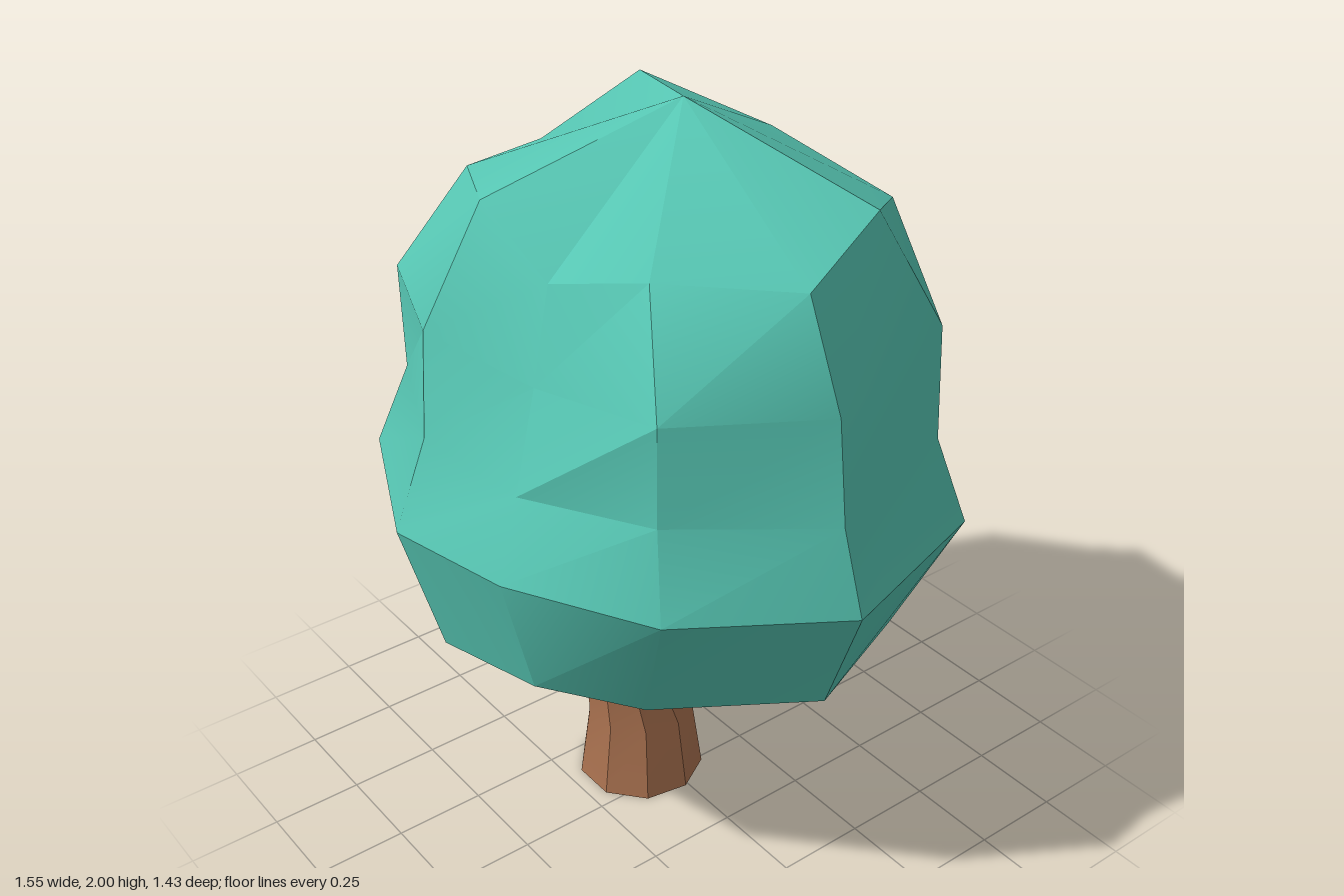
import * as THREE from 'three';
import { toCreasedNormals } from 'three/addons/utils/BufferGeometryUtils.js';

// Closed skin over equal-length rings of points (counterclockwise from above),
// fanned shut to a bottom and a top point.
function loft(rings, bottom, top) {
  const n = rings[0].length;
  const index = [];
  const last = rings.length * n;
  for (let i = 0; i < n; i++) {
    const j = (i + 1) % n;
    index.push(last, j, i);
    for (let r = 0; r < rings.length - 1; r++) {
      const a = r * n + i, b = r * n + j;
      index.push(a, b, b + n, a, b + n, a + n);
    }
    index.push(last - n + i, last - n + j, last + 1);
  }
  const geometry = new THREE.BufferGeometry().setFromPoints([...rings.flat(), bottom, top]);
  geometry.setIndex(index);
  return toCreasedNormals(geometry, THREE.MathUtils.degToRad(29));
}

const vec = (a) => new THREE.Vector3(...a);

// Crown ribs, from the front round to the left: hem, waist and shoulder points,
// plus how far the upper flank draws in towards the shoulder.
const RIBS = [
  [[-0.20, 0.61, 0.59], [-0.18, 1.01, 0.71], [-0.21, 1.79, 0.40], 0.40],
  [[0.19, 0.70, 0.57], [0.19, 1.03, 0.65], [0.03, 1.66, 0.38], 0.70],
  [[0.32, 0.59, 0.33], [0.54, 1.02, 0.45], [0.32, 1.75, 0.31], 0.30],
  [[0.60, 0.63, -0.01], [0.77, 1.00, 0.05], [0.57, 1.75, 0.07], 0.48],
  [[0.47, 0.64, -0.35], [0.59, 0.97, -0.47], [0.45, 1.82, -0.24], 0.38],
  [[0.19, 0.67, -0.55], [0.20, 0.95, -0.70], [0.19, 1.69, -0.54], 0.46],
  [[-0.34, 0.58, -0.60], [-0.40, 0.95, -0.72], [-0.27, 1.74, -0.54], 0.46],
  [[-0.67, 0.58, -0.34], [-0.75, 1.00, -0.42], [-0.46, 1.90, -0.25], 0.45],
  [[-0.67, 0.65, 0.05], [-0.78, 1.00, 0.09], [-0.43, 1.80, 0.08], 0.48],
  [[-0.56, 0.64, 0.47], [-0.62, 1.00, 0.51], [-0.41, 1.79, 0.31], 0.32],
];

function crownGeometry() {
  const rings = [[], [], [], [], []];
  for (const [hem, waist, shoulder, drawIn] of RIBS) {
    const w = vec(waist), s = vec(shoulder);
    // Flank points between waist and shoulder, bulging outside the straight line
    const flank = (t, height) => {
      const p = w.clone().lerp(s, t);
      p.y = THREE.MathUtils.lerp(w.y, s.y, height);
      return p;
    };
    [vec(hem), w, flank(0.33, 0.29), flank(drawIn, 0.65), s].forEach((p, r) => rings[r].push(p));
  }
  return loft(rings, vec([-0.1, 0.55, 0.08]), vec([-0.01, 2, -0.04]));
}

function trunkGeometry() {
  const sides = 9;
  // Each section: height, centre z, radius
  const sections = [[0, 0.04, 0.177], [0.21, 0.04, 0.148], [0.43, 0.09, 0.105], [0.64, 0.13, 0.1]];
  const x = -0.1;
  const rings = sections.map(([y, z, r]) => Array.from({ length: sides }, (_, i) => {
    const a = ((i + 0.5) / sides) * Math.PI * 2;
    return new THREE.Vector3(x + r * Math.sin(a), y, z + r * Math.cos(a));
  }));
  return loft(rings, vec([x, 0, 0.04]), vec([x, 0.64, 0.13]));
}

export function createModel() {
  const tree = new THREE.Group();
  tree.name = 'tree';
  const add = (name, geometry, color) => {
    const mesh = new THREE.Mesh(geometry, new THREE.MeshStandardMaterial({ color }));
    mesh.name = name;
    tree.add(mesh);
  };
  add('trunk', trunkGeometry(), 0xa9714f);
  add('crown', crownGeometry(), 0x56c5b2);
  return tree;
}
